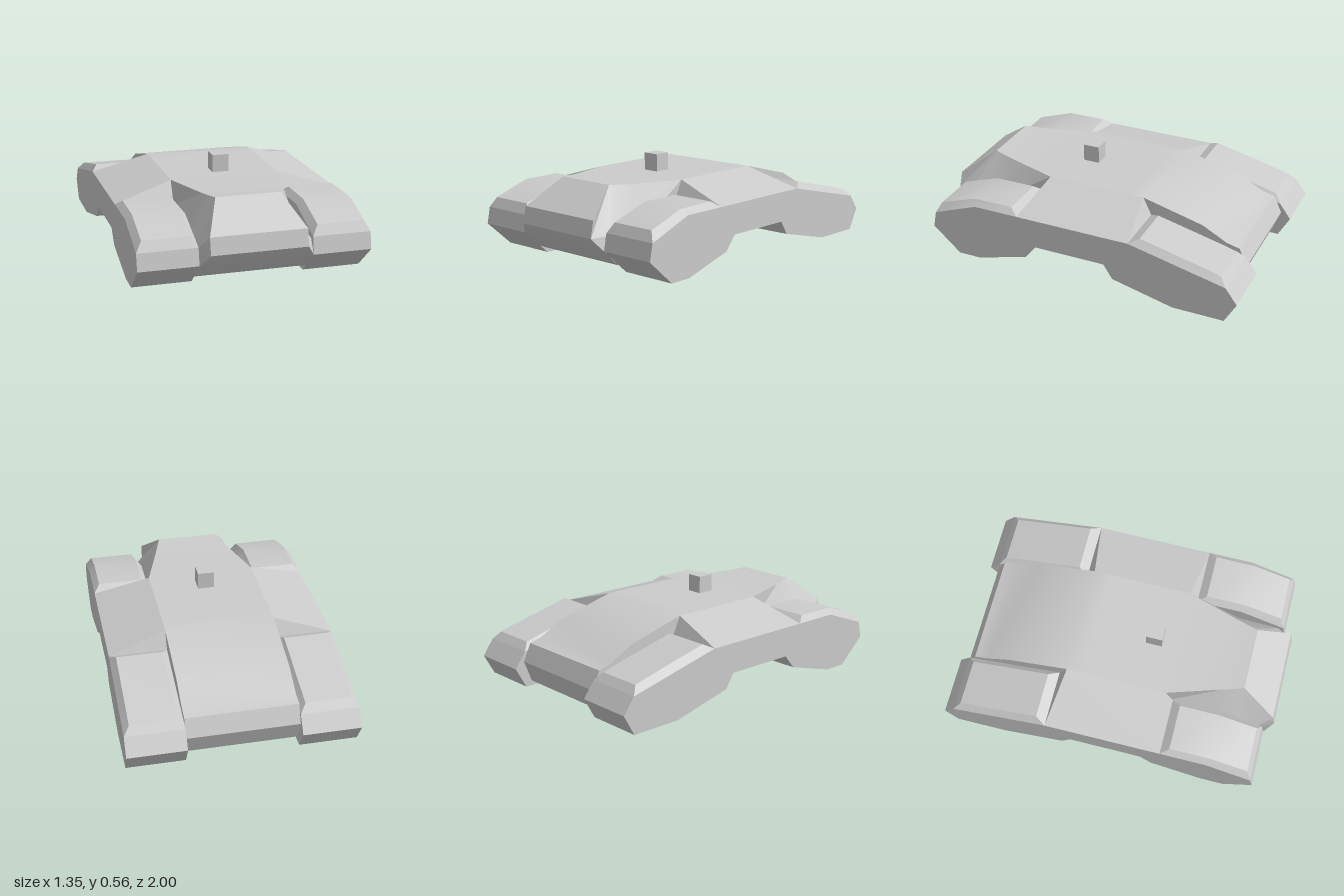
import * as THREE from 'three';
import { toCreasedNormals } from 'three/addons/utils/BufferGeometryUtils.js';

const material = new THREE.MeshStandardMaterial({ color: 0xcccccc });

// Solid through sections (front to back). A section lists [halfWidth, y, z]
// levels from bottom to top, mirrored about the middle.
function loft(sections, crease = 0.3) {
  const pos = [];
  const quad = (a, b, c, d) => pos.push(...a, ...b, ...c, ...a, ...c, ...d);
  const mirror = ([x, y, z]) => [-x, y, z];
  const rings = sections.map((s) => [...s, ...s.map(mirror).reverse()]);
  for (let i = 0; i < rings.length - 1; i++) {
    const p = rings[i], q = rings[i + 1], n = p.length;
    for (let j = 0; j < n; j++) {
      const k = (j + 1) % n;
      quad(p[j], q[j], q[k], p[k]);
    }
  }
  const cap = (s, back) => {
    for (let j = 0; j < s.length - 1; j++) {
      const a = s[j], b = s[j + 1];
      if (back) quad(a, mirror(a), mirror(b), b);
      else quad(mirror(a), a, b, mirror(b));
    }
  };
  cap(sections[0], false);
  cap(sections[sections.length - 1], true);
  const g = new THREE.BufferGeometry();
  g.setAttribute('position', new THREE.Float32BufferAttribute(pos, 3));
  return toCreasedNormals(g, crease);
}

export function createModel() {
  const group = new THREE.Group();
  const add = (name, geometry, x = 0, y = 0, z = 0, turn = 0) => {
    const mesh = new THREE.Mesh(geometry, material);
    mesh.name = name;
    mesh.position.set(x, y, z);
    mesh.rotation.y = turn;
    group.add(mesh);
  };

  // Central hull: bottom, middle and top levels from nose to tail
  add('hull', loft([
    [[0.33, 0.15, 0.95], [0.28, 0.22, 1.0], [0.28, 0.32, 0.98]],
    [[0.33, 0.05, 0.84], [0.33, 0.23, 0.9], [0.19, 0.475, 0.77]],
    [[0.33, 0.03, 0.78], [0.33, 0.24, 0.78], [0.2, 0.472, 0.74]],
    [[0.33, 0.03, 0.64], [0.33, 0.25, 0.64], [0.23, 0.465, 0.64]],
    [[0.33, 0.1, 0.32], [0.33, 0.3, 0.32], [0.33, 0.46, 0.32]],
    [[0.33, 0.175, 0.25], [0.33, 0.3, 0.25], [0.33, 0.46, 0.25]],
    [[0.33, 0.175, -0.19], [0.33, 0.3, -0.19], [0.33, 0.46, -0.19]],
    [[0.33, 0.1, -0.245], [0.33, 0.3, -0.27], [0.33, 0.46, -0.29]],
    [[0.33, 0.03, -0.62], [0.33, 0.22, -0.64], [0.33, 0.365, -0.66]],
    [[0.33, 0.03, -0.81], [0.33, 0.19, -0.81], [0.33, 0.285, -0.81]],
    [[0.33, 0.03, -0.89], [0.33, 0.16, -0.94], [0.33, 0.265, -0.89]],
  ]));

  // Side body outline (z, y) with the raised belly between the pods
  const outline = [
    [0.95, 0.15], [0.78, 0], [0.64, 0], [0.32, 0.09], [0.25, 0.175],
    [-0.19, 0.175], [-0.245, 0.09], [-0.62, 0], [-0.93, 0], [-1, 0.125],
    [-0.93, 0.22], [-0.34, 0.355], [0.65, 0.355], [0.93, 0.25],
  ];
  const sideShape = new THREE.Shape(outline.map(([z, y]) => new THREE.Vector2(z, y)));
  const sideBody = new THREE.ExtrudeGeometry(sideShape, { depth: 0.345, bevelEnabled: false });

  // Chamfered pod tops: wide base edge, narrower crown
  const section = (zBase, yBase, zTop, yTop) =>
    [[0.1725, yBase, zBase], [0.137, yTop, zTop]];
  const frontPod = loft([
    section(0.93, 0.25, 0.9, 0.31),
    section(0.65, 0.355, 0.67, 0.388),
    section(0.37, 0.355, 0.42, 0.39),
  ], 0.45);
  const rearPod = loft([
    section(-0.34, 0.355, -0.4, 0.385),
    section(-0.79, 0.252, -0.81, 0.287),
    section(-0.93, 0.22, -0.89, 0.265),
  ], 0.45);

  // Sloping shoulder between the pods, running outward from the hull
  const shoulder = loft([
    [[0.355, 0.355, 0.1725], [0.355, 0.355, 0.1725]],
    [[0.355, 0.355, -0.1725], [0.305, 0.46, -0.1725]],
  ]);

  for (const [label, s] of [['left', 1], ['right', -1]]) {
    add(label + 'SideBody', sideBody, s > 0 ? 0.675 : -0.33, 0, 0, -Math.PI / 2);
    add(label + 'FrontPod', frontPod, s * 0.5025);
    add(label + 'RearPod', rearPod, s * 0.5025);
    add(label + 'Shoulder', shoulder, s * 0.5025, 0, 0.015, s * Math.PI / 2);
  }

  // Small block on the roof
  add('roofBlock', new THREE.BoxGeometry(0.1, 0.115, 0.1), 0, 0.5075, 0.18);

  return group;
}
